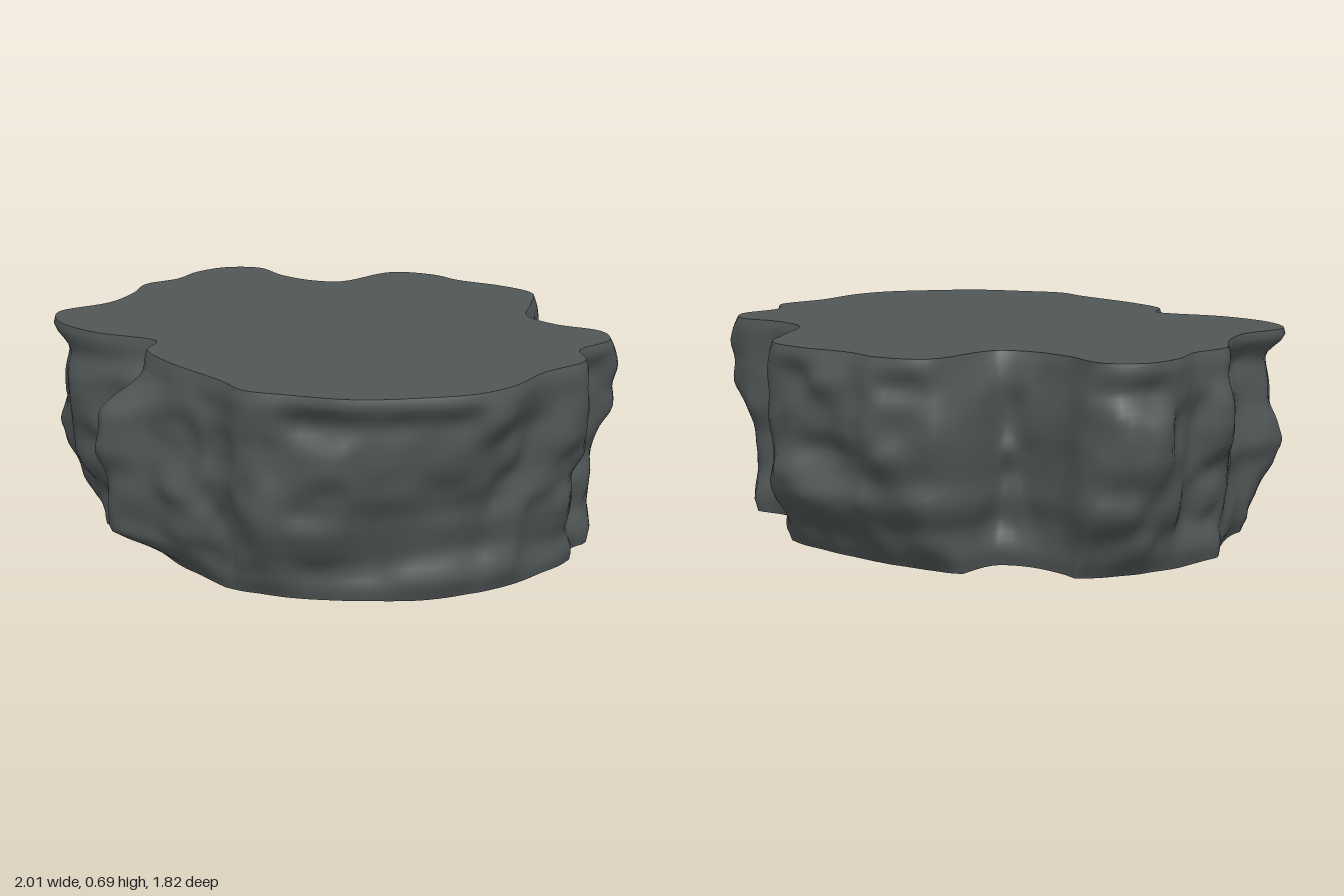
import * as THREE from 'three';

// Rim outline as x, z pairs, running from the front round the left side to the back
const RIM = [
  0.42, 0.91, 0.56, 0.865, 0.74, 0.785, 0.87, 0.65, 0.97, 0.5, 0.995, 0.35, 0.965, 0.15, 0.975, -0.06,
  0.875, -0.18, 0.87, -0.36, 0.77, -0.46, 0.6, -0.45, 0.45, -0.5, 0.335, -0.68, 0.22, -0.845,
  0.06, -0.88, -0.13, -0.865, -0.27, -0.89, -0.42, -0.83, -0.45, -0.56, -0.55, -0.505, -0.7, -0.51,
  -0.87, -0.565, -0.97, -0.49, -0.99, -0.35, -0.95, -0.2, -0.965, -0.05, -0.88, 0.1, -0.82, 0.28,
  -0.84, 0.49, -0.71, 0.61, -0.5, 0.65, -0.25, 0.61, -0.18, 0.72, 0, 0.8, 0.17, 0.84, 0.3, 0.87,
];
// Bulges below the rim: x, z of the centre, angular width, push in x and z
const BULGES = [
  [0.05, -0.9, 0.2, 0, -0.03],
  [-0.45, -0.7, 0.12, -0.05, 0],
  [-0.68, -0.52, 0.12, 0, -0.03],
  [-0.98, -0.2, 0.15, -0.02, 0],
  [-0.33, 0.64, 0.08, -0.01, 0.05],
];
const SEGMENTS = 222;
const LEVELS = 32;
const TOP = 0.688;

const smooth = (a, b, x) => THREE.MathUtils.smoothstep(x, a, b);
const hash = (i, j, k) => {
  const s = Math.sin(i * 127.1 + j * 311.7 + k * 74.7) * 43758.5453;
  return s - Math.floor(s);
};

// Blocky noise that wraps round the rock: plateaus with narrow steps between them
function blocks(u, v, cells, seed, step) {
  const row = Math.floor(v);
  const fv = smooth(0.5 - step, 0.5 + step, v - row);
  const at = (r) => {
    const x = u * cells + hash(r, 5, seed);
    const i = Math.floor(x);
    const f = smooth(0.5 - step, 0.5 + step, x - i);
    const cell = (n) => hash(((n % cells) + cells) % cells, r, seed);
    return cell(i) * (1 - f) + cell(i + 1) * f;
  };
  return at(row) * (1 - fv) + at(row + 1) * fv;
}

// Bell-shaped weight of a wall direction near the direction of (x, z)
function near(dx, dz, x, z, width) {
  const apart = Math.acos(THREE.MathUtils.clamp((dx * x + dz * z) / Math.hypot(x, z), -1, 1));
  return Math.exp(-((apart / width) ** 2));
}

function rimPoints() {
  const pts = [];
  for (let i = 0; i < RIM.length; i += 2) pts.push(new THREE.Vector3(RIM[i], 0, RIM[i + 1]));
  const curve = new THREE.CatmullRomCurve3(pts, true, 'centripetal');
  return Array.from({ length: SEGMENTS }, (_, i) => curve.getPoint(i / SEGMENTS));
}

// Radius of the foot: a rounded oval, cut straight at the front right corner
function footRadius(dx, dz, r) {
  const power = dx * dz > 0 ? 2.35 : 1.92;
  const depth = dz > 0 ? 0.87 : 0.74;
  const oval = (Math.abs(dx / 0.935) ** power + Math.abs(dz / depth) ** power) ** (-1 / power);
  const cut = 1.13 / Math.max(dz - dx, 0.5);
  const limit = r * (0.98 + 0.13 * near(dx, dz, -0.3, 0.65, 0.14));
  return Math.min(oval, cut, limit);
}

// One point of the rock wall at height fraction t
function wallPoint(rim, i, t) {
  const u = i / SEGMENTS;
  const r = Math.hypot(rim.x, rim.z);
  const dx = rim.x / r, dz = rim.z / r;

  // the wall leans out quickly at the back and slowly on the left side
  const lean = THREE.MathUtils.lerp(0.36, 0.85, smooth(0.3, 0.9, dx));
  let radius = THREE.MathUtils.lerp(footRadius(dx, dz, r), r, smooth(-0.02, lean, t));

  // low ledge at the front, below the rim
  const angle = Math.atan2(rim.x, rim.z);
  const ledge = smooth(-0.37, -0.24, angle) * (1 - smooth(0.18, 0.32, angle));
  const ledgeRadius = Math.min(0.89 / Math.max(dz, 0.5), 0.915);
  radius += ledge * Math.max(0, ledgeRadius - radius) * (1 - smooth(0.72, 0.97, t)) * smooth(0, 0.15, t);

  // chipped blocks, ridges and dents
  const fade = (1 - smooth(0.84, 0.99, t)) * (0.2 + 0.8 * smooth(0, 0.2, t));
  const chip = 0.075 * (blocks(u, t * 3.1, 23, 1, 0.25) - 0.75)
    + 0.035 * (blocks(u, t * 5.3 + 0.4, 47, 2, 0.35) - 0.55)
    + 0.014 * (blocks(u, t * 9, 90, 3, 0.5) - 0.5);
  radius += chip * fade;

  // rounded top and bottom edges
  radius -= 0.014 * smooth(0.95, 1, t) + 0.015 * (1 - smooth(0, 0.07, t));

  // broad bulges
  let x = dx * radius, z = dz * radius;
  const belly = smooth(0.1, 0.35, t) * (1 - smooth(0.8, 0.98, t));
  for (const [bx, bz, width, pushX, pushZ] of BULGES) {
    const weight = belly * near(dx, dz, bx, bz, width);
    x += pushX * weight;
    z += pushZ * weight;
  }
  return [x, THREE.MathUtils.lerp(0.022 + 0.012 * z, TOP, t), z];
}

function geometryFrom(positions, index) {
  const g = new THREE.BufferGeometry();
  g.setAttribute('position', new THREE.Float32BufferAttribute(positions, 3));
  g.setIndex(index);
  g.computeVertexNormals();
  return g;
}

// Flat fan closing one ring
function cap(ring, y, up) {
  const index = [];
  for (let i = 0; i < SEGMENTS; i++) {
    const a = i + 1, b = ((i + 1) % SEGMENTS) + 1;
    index.push(0, up ? a : b, up ? b : a);
  }
  return geometryFrom([-0.08, y, 0, ...ring.flat()], index);
}

export function createModel() {
  const group = new THREE.Group();
  group.name = 'rockSlab';
  const stone = new THREE.MeshStandardMaterial({ color: 0x505656 });
  stone.name = 'darkGreyStone';
  const add = (name, geometry) => {
    const mesh = new THREE.Mesh(geometry, stone);
    mesh.name = name;
    group.add(mesh);
    return mesh;
  };

  // Craggy wall, ring by ring from the foot to the rim
  const rim = rimPoints();
  const rings = [];
  for (let j = 0; j <= LEVELS; j++) rings.push(rim.map((p, i) => wallPoint(p, i, j / LEVELS)));
  const index = [];
  for (let j = 0; j < LEVELS; j++) {
    for (let i = 0; i < SEGMENTS; i++) {
      const n = (i + 1) % SEGMENTS;
      const a = j * SEGMENTS + i, b = j * SEGMENTS + n;
      index.push(a, b, b + SEGMENTS, a, b + SEGMENTS, a + SEGMENTS);
    }
  }
  add('rockWall', geometryFrom(rings.flat(2), index));

  // Flat top and underside
  add('flatTop', cap(rings[LEVELS], TOP, true));
  add('underside', cap(rings[0], 0.022, false));

  // Small lump low on the left side that touches the ground
  const lump = add('footLump', new THREE.SphereGeometry(1, 20, 14));
  lump.scale.set(0.08, 0.06, 0.09);
  lump.position.set(0.82, 0.06, 0.05);
  return group;
}
